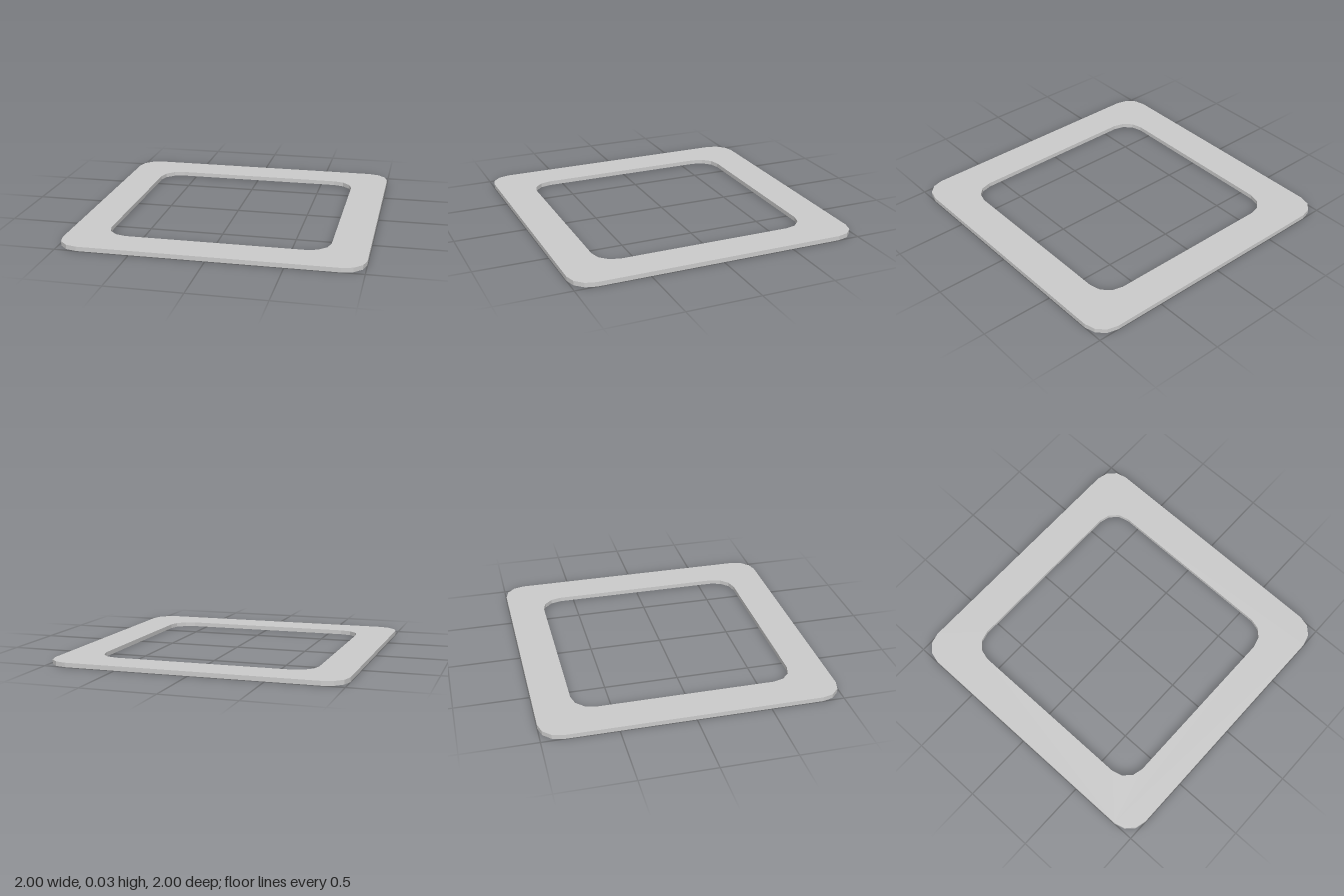
import * as THREE from 'three';

// Outline of a square with corners rounded in three straight facets
function roundedSquare(half, radius, facets = 3) {
  const points = [];
  const c = half - radius;
  for (let corner = 0; corner < 4; corner++) {
    const start = corner * Math.PI / 2;
    const cx = corner === 0 || corner === 3 ? c : -c;
    const cy = corner < 2 ? c : -c;
    for (let i = 0; i <= facets; i++) {
      const a = start + (i / facets) * Math.PI / 2;
      points.push(new THREE.Vector2(cx + radius * Math.cos(a), cy + radius * Math.sin(a)));
    }
  }
  return points;
}

export function createModel() {
  const group = new THREE.Group();
  group.name = 'squareFrame';

  // Thin flat plate with a rounded square opening
  const shape = new THREE.Shape(roundedSquare(1, 0.147));
  shape.holes.push(new THREE.Path(roundedSquare(0.747, 0.147)));
  const geometry = new THREE.ExtrudeGeometry(shape, { depth: 0.03, bevelEnabled: false });
  geometry.rotateX(-Math.PI / 2);

  const material = new THREE.MeshStandardMaterial({ color: 0xcccccc, flatShading: true });
  const frame = new THREE.Mesh(geometry, material);
  frame.name = 'framePlate';
  group.add(frame);
  return group;
}
